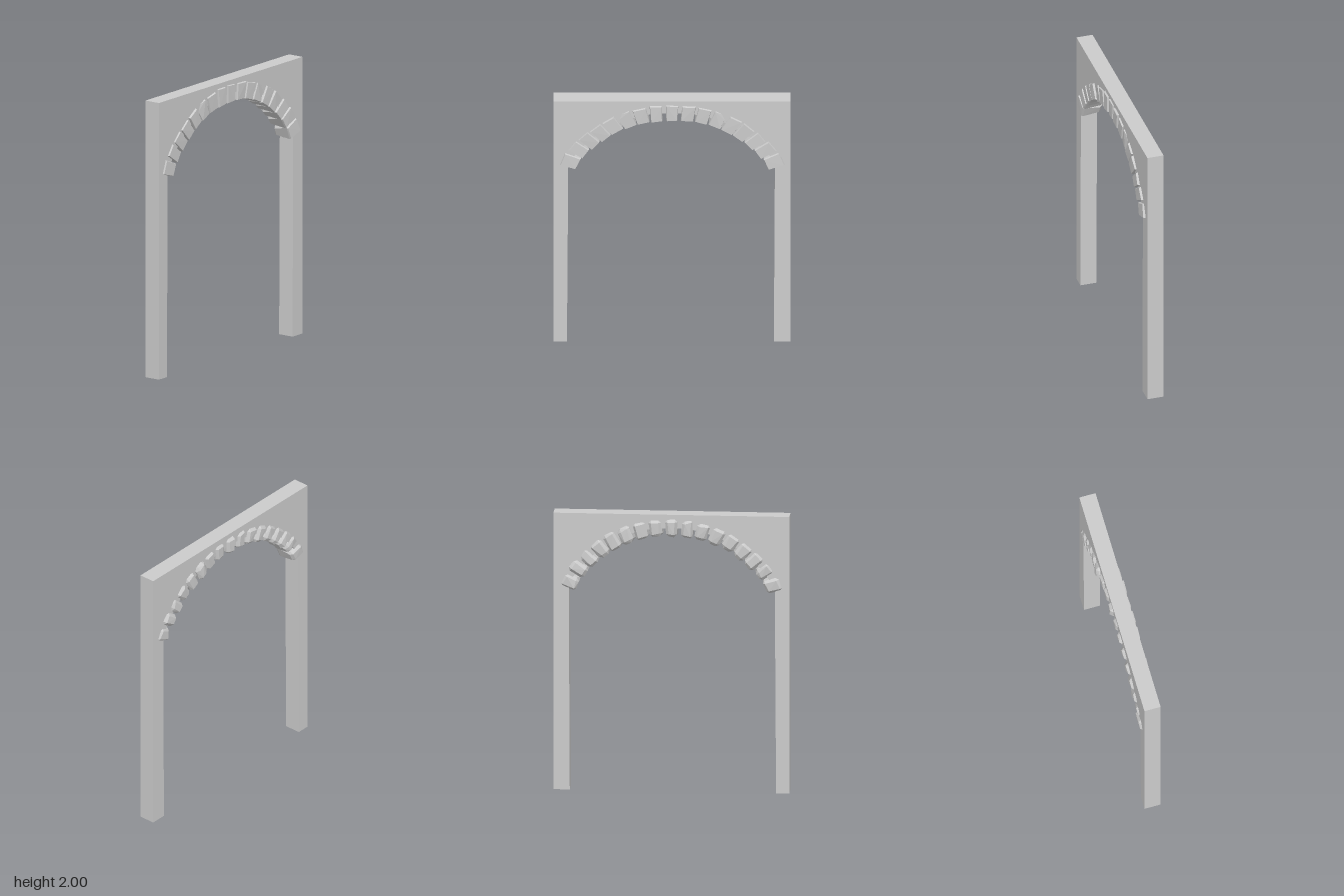
import * as THREE from 'three';
import { ConvexGeometry } from 'three/addons/geometries/ConvexGeometry.js';

// Right half of the arch line, crown to springing: x, y, tilt in degrees
const ARCH = [
  [0, 1.903, 0], [0.112, 1.9, 6], [0.217, 1.88, 14], [0.32, 1.845, 24], [0.415, 1.8, 33],
  [0.5, 1.74, 42], [0.58, 1.672, 50], [0.652, 1.597, 57], [0.713, 1.502, 69],
];
const BACK = -0.053, FRONT = 0.065;

function seeded(seed) {
  return () => {
    seed = (seed * 16807) % 2147483647;
    return seed / 2147483647;
  };
}

// Wall slab with the arched opening cut out; post feet are left open
function wallGeometry() {
  const shape = new THREE.Shape();
  shape.moveTo(-0.83, 0);
  shape.lineTo(-0.737, 0);
  shape.lineTo(-0.728, 1.47);
  for (let i = ARCH.length - 1; i > 0; i--) shape.lineTo(-ARCH[i][0], ARCH[i][1]);
  for (const [x, y] of ARCH) shape.lineTo(x, y);
  shape.lineTo(0.72, 1.47);
  shape.lineTo(0.713, 0);
  shape.lineTo(0.828, 0);
  shape.lineTo(0.828, 2);
  shape.lineTo(-0.83, 2);
  const geo = new THREE.ExtrudeGeometry(shape, { depth: FRONT - BACK, bevelEnabled: false }).toNonIndexed?.() ;
  geo.translate(0, 0, BACK);
  const p = geo.attributes.position, keep = [];
  for (let i = 0; i < p.count; i += 3) {
    if (Math.max(p.getY(i), p.getY(i + 1), p.getY(i + 2)) < 1e-4) continue;
    for (let k = i; k < i + 3; k++) keep.push(p.getX(k), p.getY(k), p.getZ(k));
  }
  const open = new THREE.BufferGeometry();
  open.setAttribute('position', new THREE.Float32BufferAttribute(keep, 3));
  open.computeVertexNormals();
  return open;
}

// Rough-hewn block: crisp face at the front, worn corners at the back
function stoneGeometry(rand, w, h, front, back, chip) {
  const pts = [];
  const jit = (a) => (rand() - 0.5) * a;
  for (const sx of [-1, 1]) for (const sy of [-1, 1]) {
    const taper = sy > 0 ? 1 : 0.93;
    const x = sx * w / 2 * taper + jit(0.008), y = sy * h / 2 + jit(0.008);
    const chipped = chip && sx === chip && sy > 0;
    // each ring: inset from the corner, z
    const bevel = 0.014 + rand() * 0.012;
    const cut = chipped ? 0.04 : 0.004;
    const zf = front + jit(0.006) - (chipped ? 0.008 : 0), zb = back + jit(0.008);
    pts.push(new THREE.Vector3(x - sx * cut, y - sy * 0.004, zf));
    pts.push(new THREE.Vector3(x - sx * 0.004, y - sy * cut, zf));
    pts.push(new THREE.Vector3(x, y, front - 0.012 - (chipped ? 0.02 : 0)));
    pts.push(new THREE.Vector3(x, y - sy * bevel, back + 0.02));
    pts.push(new THREE.Vector3(x - sx * bevel, y, back + 0.02));
    pts.push(new THREE.Vector3(x - sx * bevel, y - sy * bevel, zb));
  }
  return new ConvexGeometry(pts);
}

export function createModel() {
  const group = new THREE.Group();
  group.name = 'archway';
  const wallMat = new THREE.MeshStandardMaterial({ color: 0xcccccc, flatShading: true, side: THREE.DoubleSide });
  const stoneMat = new THREE.MeshStandardMaterial({ color: 0xcccccc, flatShading: true });

  const wall = new THREE.Mesh(wallGeometry(), wallMat);
  wall.name = 'wall';
  group.add(wall);

  // Ring of voussoirs following the arch line, running through the wall
  const rand = seeded(4211);
  const stones = new THREE.Group();
  stones.name = 'archStones';
  for (const side of [-1, 1]) {
    ARCH.forEach(([x, y, tilt], i) => {
      if (i === 0 && side < 0) return;
      const last = i === ARCH.length - 1;
      const proud = side > 0 && i === 3;
      const w = last ? 0.105 : 0.09 + rand() * 0.008;
      const h = last ? 0.118 : 0.12 + rand() * 0.008;
      const front = 0.073 + rand() * 0.007;
      const back = proud ? -0.084 : -0.063 - rand() * 0.009;
      const chip = i === 3 ? side : 0;
      const stone = new THREE.Mesh(stoneGeometry(rand, w, h, front, back, chip), stoneMat);
      stone.name = i === 0 ? 'keystone' : 'archStone';
      stone.position.set(side * x, y, 0);
      stone.rotation.z = THREE.MathUtils.degToRad(-side * tilt + (rand() - 0.5) * 4);
      stones.add(stone);
    });
  }
  group.add(stones);
  return group;
}
